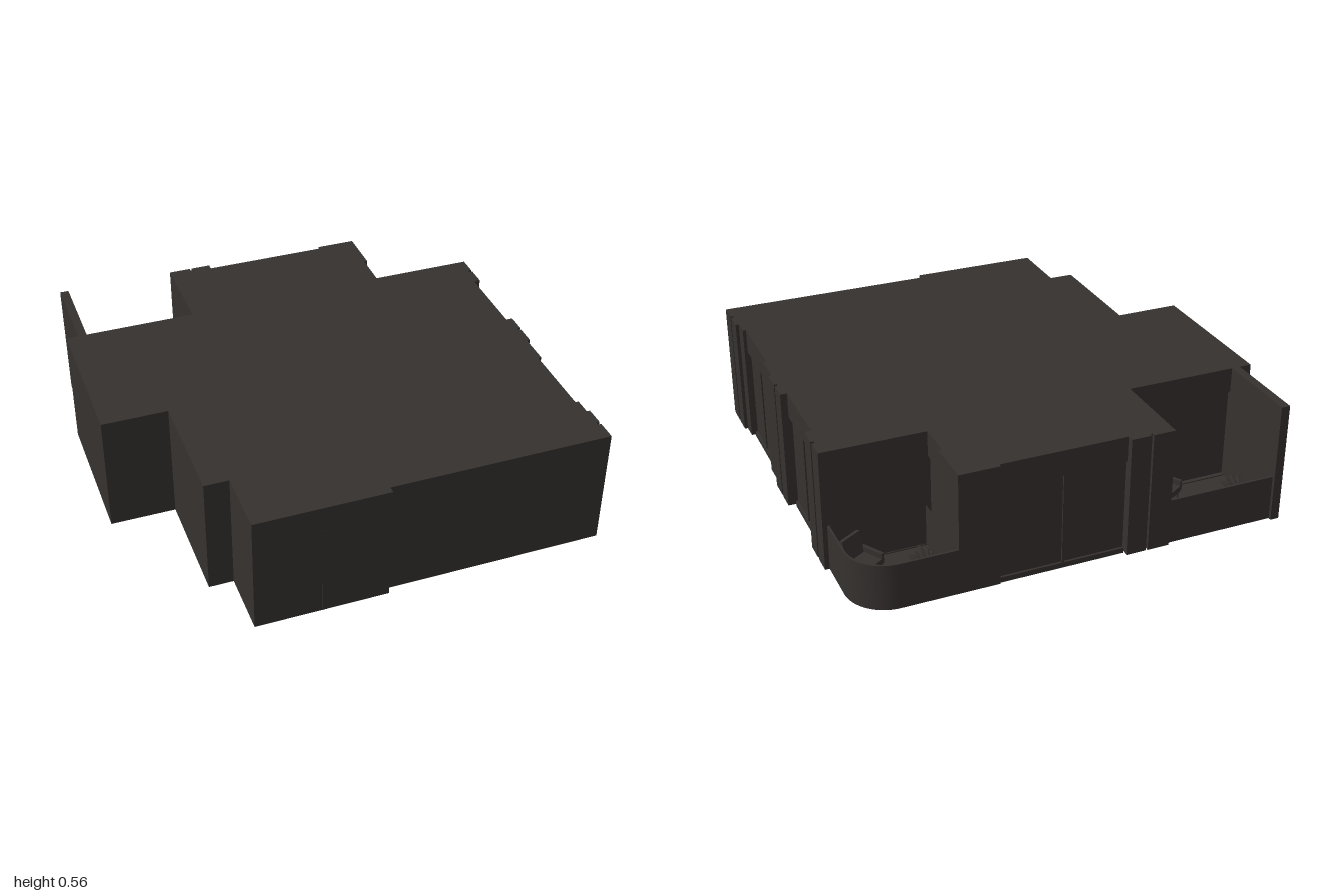
import * as THREE from 'three';

const mat = new THREE.MeshStandardMaterial({ color: 0x35312f, side: THREE.DoubleSide });
const TOP = 0.565, BASE = 0.01, LINTEL = 0.45, RAIL = 0.22;

function add(parent, name, geo, x = 0, y = 0, z = 0) {
  const m = new THREE.Mesh(geo, mat);
  m.name = name;
  m.position.set(x, y, z);
  parent.add(m);
  return m;
}

// box given by its two corners
function block(parent, name, x0, x1, y0, y1, z0, z1) {
  return add(parent, name, new THREE.BoxGeometry(x1 - x0, y1 - y0, z1 - z0),
    (x0 + x1) / 2, (y0 + y1) / 2, (z0 + z1) / 2);
}

// extrude a plan drawn in (x, -z) between two heights
function raise(parent, name, shape, y0, y1) {
  const g = new THREE.ExtrudeGeometry(shape, { depth: y1 - y0, bevelEnabled: false, curveSegments: 16 });
  g.rotateX(-Math.PI / 2);
  return add(parent, name, g, 0, y0, 0);
}

// floor plan; r sets how far the window bays are pushed in
function plan(r) {
  const w = 0.97 - r;
  const pts = [
    [-1, -0.565], [-1, 0.13], [-0.705, 0.13], [-0.705, 0.665], [-0.595, 0.665],
    [-0.595, 0.955], [0, 0.955], [0, 0.925], [0.985, 0.925],
    [0.985, 0.66], [w, 0.66], [w, 0.305], [0.985, 0.305],
    [0.985, -0.03], [w, -0.03], [w, -0.385], [0.985, -0.385], [0.985, -0.575],
    [0.79, -0.575], [0.79, -0.575 + r], [0.535 - r, -0.575 + r], [0.535 - r, -0.74],
    [0.55, -0.74], [0.55, -0.95], [0.37, -0.95],
    [0.37, -0.935 + r], [-0.2, -0.935 + r], [-0.2, -0.95], [-0.4, -0.95],
    [-0.4, -0.565 + r], [-0.905, -0.565 + r], [-0.905, -0.565],
  ];
  return new THREE.Shape(pts.map(([x, z]) => new THREE.Vector2(x, -z)));
}

// outline with one rounded corner, inset by t
function roundedPlan(t, x0, z1) {
  const r = 0.18 - t, x1 = 0.98 - t, z0 = -0.95 + t, s = new THREE.Shape();
  s.moveTo(x0, -z1);
  s.lineTo(x1, -z1);
  s.lineTo(x1, -z0 - r);
  s.absarc(x1 - r, -z0 - r, r, 0, Math.PI / 2, false);
  s.lineTo(x0, -z0);
  s.closePath();
  return s;
}

// leafy plant in a pot
function plant(parent, x, z) {
  const g = new THREE.Group();
  g.name = 'pottedPlant';
  g.position.set(x, 0.02, z);
  add(g, 'pot', new THREE.CylinderGeometry(0.035, 0.026, 0.06, 16), 0, 0.03, 0);
  const leaf = new THREE.SphereGeometry(1, 8, 6);
  leaf.scale(0.042, 0.005, 0.014);
  leaf.translate(0.042, 0, 0);
  for (let i = 0; i < 22; i++) {
    const m = add(g, 'leaf', leaf, 0, 0.065 + (i % 3) * 0.02, 0);
    m.rotation.set(0, i * 2.4, 0.15 + (i % 4) * 0.25);
  }
  parent.add(g);
}

// lounge chair with a curved tub back
function chair(parent, x, z, turn) {
  const g = new THREE.Group();
  g.name = 'loungeChair';
  g.position.set(x, 0.02, z);
  g.rotation.y = turn;
  add(g, 'seat', new THREE.BoxGeometry(0.11, 0.03, 0.11), 0, 0.06, 0);
  const back = add(g, 'backrest', new THREE.BoxGeometry(0.11, 0.1, 0.018), 0, 0.12, 0.06);
  back.rotation.x = 0.2;
  for (const s of [-1, 1]) {
    add(g, 'armrest', new THREE.BoxGeometry(0.015, 0.05, 0.11), s * 0.06, 0.075, 0);
    for (const t of [-1, 1])
      add(g, 'leg', new THREE.CylinderGeometry(0.005, 0.005, 0.05, 8), s * 0.05, 0.025, t * 0.045);
  }
  parent.add(g);
}

function sideTable(parent, x, z) {
  const profile = [[0, 0], [0.025, 0], [0.025, 0.006], [0.006, 0.01], [0.006, 0.075], [0.037, 0.078], [0.037, 0.088], [0, 0.088]];
  add(parent, 'sideTable', new THREE.LatheGeometry(profile.map(p => new THREE.Vector2(...p)), 24), x, 0.02, z);
}

export function createModel() {
  const model = new THREE.Group();
  model.name = 'apartmentFloor';

  // main storey: recessed window bays below, full outline above
  raise(model, 'lowerWalls', plan(0.015), BASE, LINTEL);
  raise(model, 'upperWallsAndRoof', plan(0), LINTEL, TOP);

  // projecting piers in pairs along the right side
  for (const [z0, z1] of [[0.835, 0.925], [0.735, 0.82], [0.07, 0.16], [-0.03, 0.055], [-0.475, -0.39], [-0.575, -0.49]])
    block(model, 'sidePier', 0.975, 1, BASE, TOP, z0, z1);
  // back pier pair
  for (const [x0, x1] of [[-0.4, -0.3], [-0.29, -0.2]])
    block(model, 'backPier', x0, x1, BASE, TOP, -0.965, -0.94);

  // window frames and sills
  for (const [z0, z1] of [[0.305, 0.66], [-0.385, -0.03]]) {
    block(model, 'windowSill', 0.93, 0.965, 0, 0.025, z0, z1);
    block(model, 'windowMullion', 0.95, 0.961, BASE, LINTEL, (z0 + z1) / 2 - 0.005, (z0 + z1) / 2 + 0.005);
  }
  block(model, 'backWindowSill', -0.2, 0.37, 0, 0.025, -0.93, -0.9);
  block(model, 'backWindowMullion', 0.075, 0.085, BASE, LINTEL, -0.928, -0.91);
  block(model, 'frontJoint', -0.3, -0.294, BASE, LINTEL, 0.94, 0.957);

  // balcony with the tall side wall
  block(model, 'squareBalconyFloor', -0.905, -0.4, BASE, 0.02, -0.95, -0.56);
  block(model, 'squareBalconyParapet', -0.905, -0.4, BASE, RAIL, -0.95, -0.94);
  block(model, 'balconySideWall', -0.945, -0.905, BASE, TOP, -0.965, -0.56);
  block(model, 'balconyDoorTrack', -0.92, -0.38, 0, 0.025, -0.57, -0.545);

  // balcony with the rounded corner
  raise(model, 'roundedBalconyFloor', roundedPlan(0, 0.53, -0.56), BASE, 0.02);
  const parapet = roundedPlan(0, 0.55, -0.575);
  parapet.holes.push(roundedPlan(0.01, 0.5501, -0.5751));
  raise(model, 'roundedBalconyParapet', parapet, BASE, RAIL);
  block(model, 'balconyDoorTrack', 0.535, 0.79, 0, 0.025, -0.58, -0.555);
  block(model, 'balconyDoorTrack', 0.515, 0.54, 0, 0.025, -0.735, -0.56);

  // balcony furniture
  plant(model, -0.8, -0.85);
  sideTable(model, -0.49, -0.795);
  chair(model, -0.535, -0.665, 0.55);
  plant(model, 0.655, -0.85);
  sideTable(model, 0.875, -0.825);
  chair(model, 0.87, -0.695, 0.55);

  return model;
}
